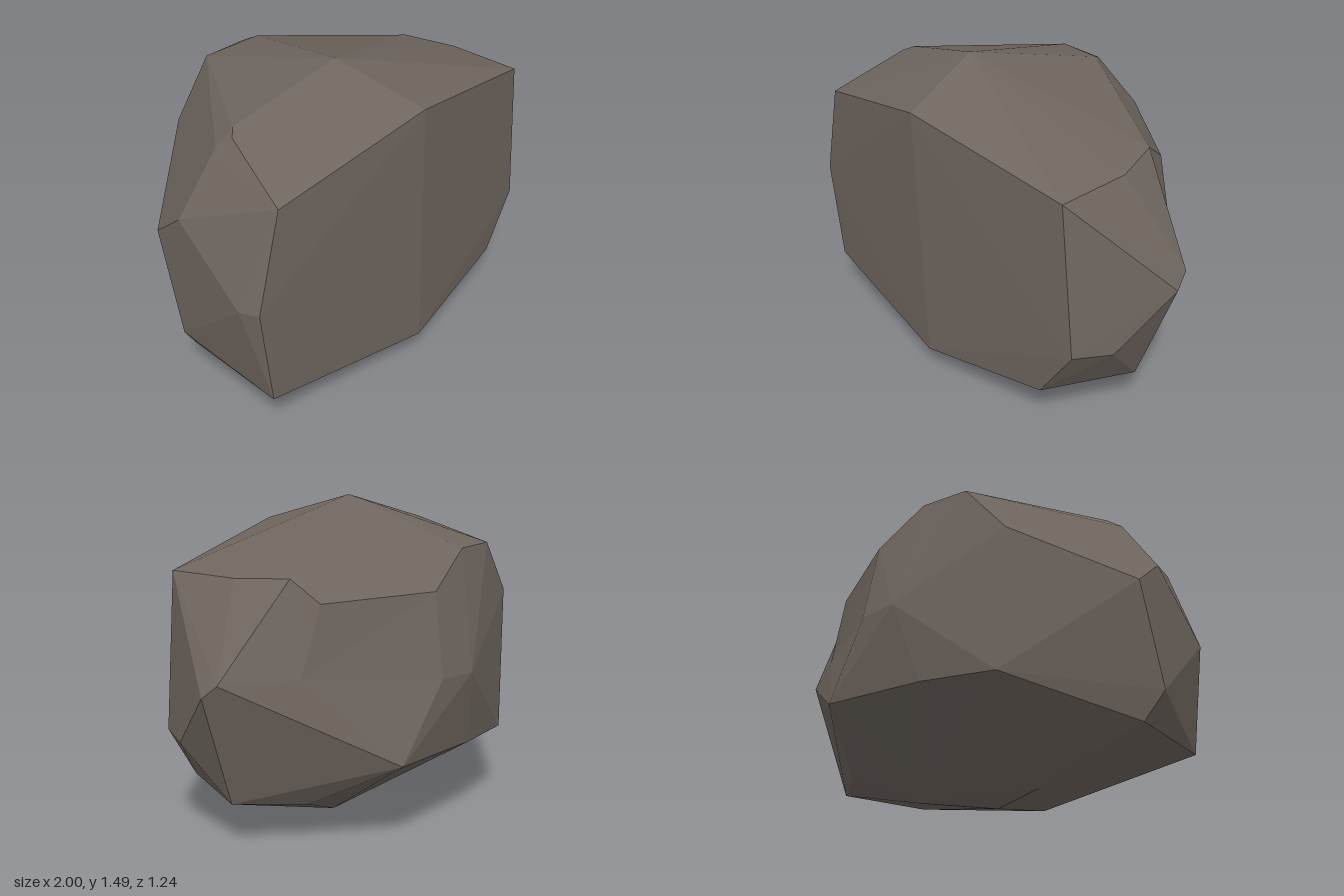
import * as THREE from 'three';
import { ConvexGeometry } from 'three/addons/geometries/ConvexGeometry.js';

// Corners of the boulder, grouped by the side they belong to
const frontRim = [
  [-0.84, 1.18, 0.51], [-0.09, 1.36, 0.62], [0.72, 1.21, 0.51], [0.79, 0.49, 0.51],
  [0.61, 0.22, 0.52], [-0.05, 0.13, 0.62], [-0.9, 0.23, 0.51], [-0.96, 0.72, 0.51],
];
const crown = [
  [-0.19, 1.49, 0.2], [-0.71, 1.34, 0.12], [-0.75, 1.32, 0.16], [-0.79, 1.27, 0.1],
  [-0.03, 1.33, -0.45], [-0.07, 1.3, -0.51], [-0.3, 1.3, -0.51],
  [0.72, 1.21, 0.15], [0.64, 1.22, -0.09],
];
const leftSide = [
  [1, 0.75, 0.1], [0.98, 0.81, 0.03], [0.98, 0.75, 0.13], [0.88, 0.48, 0.35],
  [0.6, 1.12, -0.22],
];
const rightSide = [
  [-1, 0.72, 0.43], [-0.97, 0.98, 0.05], [-0.95, 0.83, -0.13], [-0.97, 0.36, 0.02],
];
const back = [
  [0.17, 1.14, -0.52], [-0.5, 1.05, -0.5], [0.01, 0.76, -0.62], [0.2, 0.76, -0.58],
  [0.42, 0.41, -0.52], [-0.1, 0.39, -0.55], [-0.455, 0.37, -0.52],
];
const underside = [
  [-0.09, 0, 0.1], [-0.34, 0.03, 0.02], [0.25, 0.05, -0.02], [0.81, 0.22, 0.12],
  [0.73, 0.21, 0.06], [0.67, 0.2, 0.02], [0.58, 0.2, -0.12],
  [-0.64, 0.13, -0.02], [-0.88, 0.22, -0.02],
];

// Shallow hollow: a corner is hulled slightly outside, then pressed inwards
const hollowFrom = new THREE.Vector3(0.76, 0.81, -0.26);
const hollowTo = new THREE.Vector3(0.7, 0.81, -0.19);

export function createModel() {
  const stone = new THREE.MeshStandardMaterial({ color: 0x6e655e });
  stone.name = 'stone';
  stone.flatShading = true;

  const corners = [frontRim, crown, leftSide, rightSide, back, underside]
    .flat().map((p) => new THREE.Vector3(...p));
  const geometry = new ConvexGeometry([...corners, hollowFrom]);

  const position = geometry.attributes.position;
  const v = new THREE.Vector3();
  for (let i = 0; i < position.count; i++) {
    v.fromBufferAttribute(position, i);
    if (v.distanceTo(hollowFrom) < 0.001) position.setXYZ(i, ...hollowTo.toArray());
  }
  geometry.computeVertexNormals();

  const boulder = new THREE.Mesh(geometry, stone);
  boulder.name = 'boulder';
  const group = new THREE.Group();
  group.name = 'rock';
  group.add(boulder);
  return group;
}
